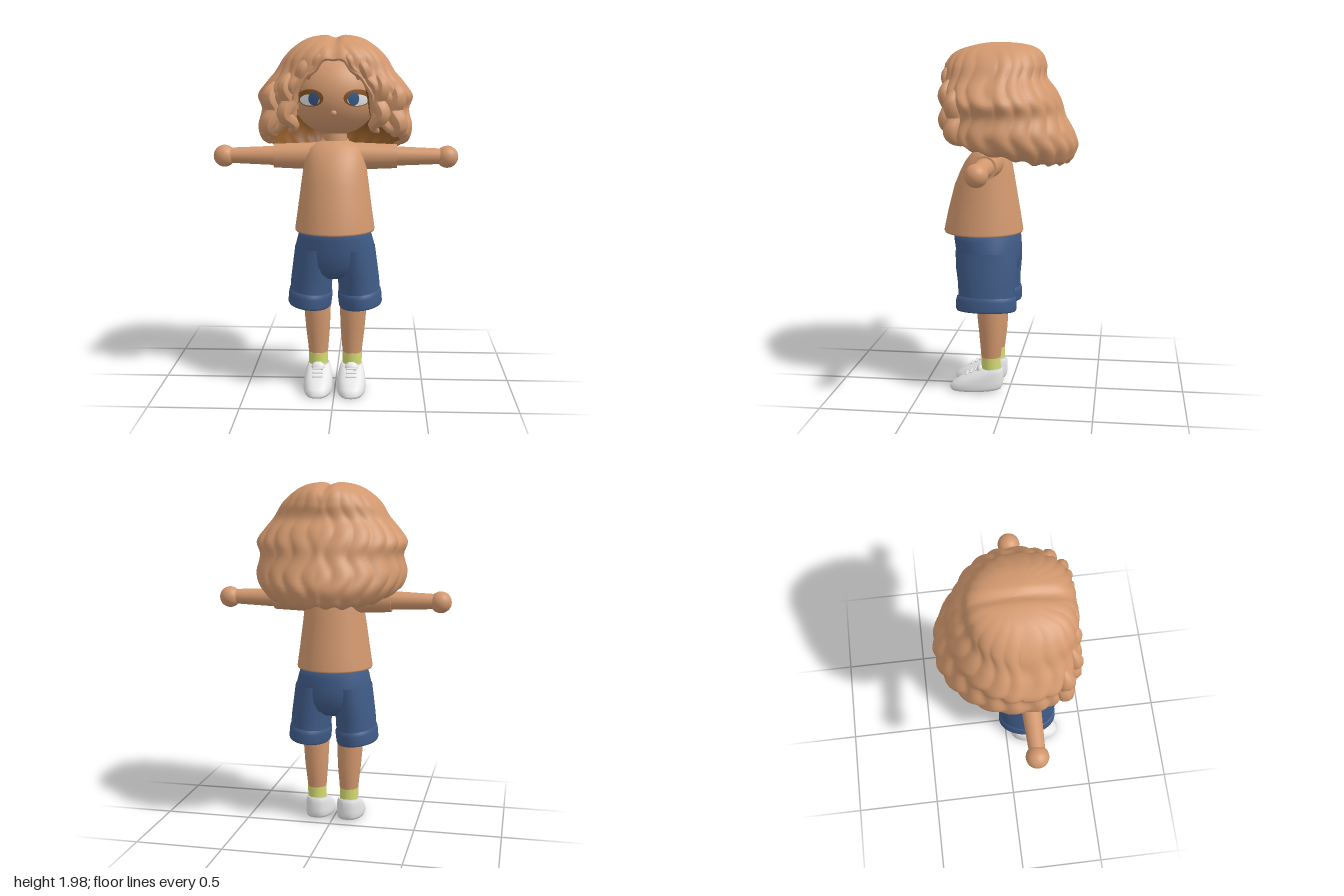
import * as THREE from 'three';

const mat = (name, color, side = THREE.FrontSide) =>
  Object.assign(new THREE.MeshStandardMaterial({ color, side }), { name });

// Closed loft: rows run top to bottom, columns run round from the front
function loft(rows, cols, point) {
  const pos = [], idx = [];
  for (let i = 0; i < rows; i++)
    for (let j = 0; j < cols; j++) pos.push(...point(i, (j / cols) * Math.PI * 2));
  for (let i = 0; i < rows - 1; i++)
    for (let j = 0; j < cols; j++) {
      const a = i * cols + j, b = i * cols + (j + 1) % cols;
      idx.push(a, a + cols, b, b, a + cols, b + cols);
    }
  const g = new THREE.BufferGeometry();
  g.setAttribute('position', new THREE.Float32BufferAttribute(pos, 3));
  g.setIndex(idx);
  g.computeVertexNormals();
  return g;
}

// Loft through elliptical rings [y, centreX, radiusX, centreZ, radiusZ]
const rings = (list, cols = 40) => loft(list.length, cols, (i, a) => {
  const [y, cx, rx, cz, rz] = list[i];
  return [cx + rx * Math.sin(a), y, cz + rz * Math.cos(a)];
});

// Tapering curl along a path
function curl(points, radius) {
  const path = new THREE.CatmullRomCurve3(points.map(p => new THREE.Vector3(...p)));
  const n = 28, m = 10, g = new THREE.TubeGeometry(path, n, radius, m);
  const p = g.attributes.position, v = new THREE.Vector3();
  for (let i = 0; i <= n; i++) {
    const c = path.getPointAt(i / n), s = Math.pow(Math.sin(Math.PI * Math.min(0.999, Math.max(0.001, i / n))), 0.5);
    for (let j = 0; j <= m; j++) {
      const k = i * (m + 1) + j;
      v.fromBufferAttribute(p, k).sub(c).multiplyScalar(s).add(c);
      p.setXYZ(k, v.x, v.y, v.z);
    }
  }
  g.computeVertexNormals();
  return g;
}

// Hair profile against sqrt(2 - y): half width, front z, back z
const profile = [
  [2.0, 0.0, 0.05, 0.05], [1.985, 0.13, 0.18, -0.1], [1.95, 0.2, 0.29, -0.17], [1.88, 0.275, 0.35, -0.2],
  [1.8, 0.325, 0.355, -0.205], [1.74, 0.375, 0.365, -0.25], [1.67, 0.42, 0.36, -0.285],
  [1.6, 0.4, 0.335, -0.305], [1.5, 0.42, 0.345, -0.355], [1.43, 0.4, 0.33, -0.375], [1.34, 0.33, 0.29, -0.34]];
const hairAt = new THREE.CubicInterpolant(
  profile.map(p => Math.sqrt(2 - p[0])), profile.flatMap(p => p.slice(1)), 3, new Float32Array(3));
// Lower edge of the hair by angle from the front
const edge = [[0, 1.87], [0.1, 1.865], [0.2, 1.8], [0.3, 1.76], [0.36, 1.7], [0.42, 1.54], [0.6, 1.5],
  [1, 1.47], [1.57, 1.415], [2.2, 1.355], [2.7, 1.345], [3.15, 1.35]];
function hairEdge(a) {
  const t = Math.min(a, Math.PI * 2 - a);
  const k = edge.findIndex((e, i) => i > 0 && t <= e[0]);
  const [a0, y0] = edge[k - 1], [a1, y1] = edge[k];
  return y0 + (y1 - y0) * (t - a0) / (a1 - a0) + 0.008 * Math.cos(22 * t);
}
function hairPoint(t, a, scale = 1, lift = 0) {
  const u = t * Math.sqrt(2 - hairEdge(a)), y = 2 - u * u;
  const [w, zf, zb] = hairAt.evaluate(u);
  const s = Math.sin(a), c = Math.cos(a), side = Math.min(a, Math.PI * 2 - a);
  const p = c > 0 ? 0.7 : 1;
  const wave = 1 + 0.035 * Math.min(1, u * 2) * (Math.abs(Math.cos(11 * side + 0.7 * Math.sin(y * 26))) - 0.6);
  const x = Math.sign(s) * Math.pow(Math.abs(s), p) * w * wave * scale;
  const z = 0.05 + (c > 0 ? Math.pow(c, p) * (zf - 0.05) : c * (0.05 - zb)) * wave * scale;
  const part = 0.018 * Math.exp(-((x / 0.03) ** 2)) * Math.max(0, Math.min(1, (y - 1.8) / 0.1));
  return [x, y - part + lift, z];
}

// Front surface of the face
const face = { y: 1.68, z: 0.09, rx: 0.24, ry: 0.226, rz: 0.225 };
const faceZ = (x, y) => face.z + face.rz *
  Math.sqrt(Math.max(0, 1 - (x / face.rx) ** 2 - ((y - face.y) / face.ry) ** 2));
function facePatch(cx, cy, rx, ry, offset) {
  const g = new THREE.RingGeometry(0.001, 1, 28, 5), p = g.attributes.position;
  for (let i = 0; i < p.count; i++) {
    const x = cx + p.getX(i) * rx, y = cy + p.getY(i) * ry;
    p.setXYZ(i, x, y, faceZ(x, y) + offset);
  }
  g.computeVertexNormals();
  return g;
}

export function createModel() {
  const model = new THREE.Group();
  const tan = mat('tan', 0xd2986e, THREE.DoubleSide), denim = mat('denim blue', 0x3f5b87, THREE.DoubleSide);
  const white = mat('white', 0xececec), lime = mat('lime', 0xd6dd72);
  const brown = mat('dark brown', 0x855322, THREE.DoubleSide), blue = mat('eye blue', 0x3b5a8a);
  const add = (name, geo, material, x = 0, y = 0, z = 0) => {
    const m = new THREE.Mesh(geo, material);
    m.name = name;
    m.position.set(x, y, z);
    model.add(m);
    return m;
  };

  // Hair shell with a turned-in rim, then its dark lining
  const n = 56;
  add('hair', loft(n + 2, 240, (i, a) => i < n ? hairPoint(i / (n - 1), a)
    : hairPoint(1, a, i === n ? 0.96 : 0.9, i === n ? -0.008 : 0.008)), tan);
  add('hairLining', loft(30, 120, (i, a) => hairPoint(1 - i / 29, a, 0.9, 0.008 - 0.03 * i / 29)), brown);

  // Head, nose and neck
  const head = add('head', new THREE.SphereGeometry(1, 48, 32), tan, 0, face.y, face.z);
  head.scale.set(face.rx, face.ry, face.rz);
  add('nose', new THREE.SphereGeometry(0.016, 16, 12), tan, 0, 1.585, faceZ(0, 1.585) + 0.002);
  add('neck', new THREE.CylinderGeometry(0.06, 0.068, 0.16, 28), tan, 0, 1.45, 0.1);

  // Shirt body and collar
  add('shirt', rings([
    [1.425, 0, 0.068, 0.105, 0.06], [1.41, 0, 0.11, 0.108, 0.08], [1.385, 0, 0.148, 0.115, 0.105],
    [1.34, 0, 0.166, 0.125, 0.13], [1.28, 0, 0.174, 0.135, 0.152], [1.2, 0, 0.185, 0.145, 0.175],
    [1.05, 0, 0.205, 0.152, 0.207], [0.945, 0, 0.22, 0.155, 0.226], [0.935, 0, 0.218, 0.155, 0.223],
    [0.94, 0, 0.208, 0.155, 0.213]], 56), tan);
  const collar = add('collar', new THREE.TorusGeometry(0.068, 0.008, 8, 36), tan, 0, 1.422, 0.105);
  collar.rotation.x = Math.PI / 2 + 0.15;

  // Shorts seat, closed at the crotch
  add('shortsSeat', rings([
    [0.96, 0, 0.001, 0.135, 0.001], [0.96, 0, 0.188, 0.137, 0.186], [0.9, 0, 0.206, 0.132, 0.193],
    [0.82, 0, 0.226, 0.125, 0.188], [0.75, 0, 0.228, 0.123, 0.178], [0.7, 0, 0.19, 0.123, 0.15],
    [0.665, 0, 0.1, 0.123, 0.1], [0.655, 0, 0.001, 0.123, 0.001]], 48), denim);

  for (const s of [1, -1]) {
    // Eyes as thin layers on the face
    add('lash', facePatch(s * 0.125, 1.664, 0.072, 0.046, 0.003), brown);
    add('eyeWhite', facePatch(s * 0.128, 1.653, 0.055, 0.03, 0.006), white);
    add('iris', facePatch(s * 0.106, 1.66, 0.029, 0.034, 0.009), blue);

    // Curls framing the face
    const curls = [
      [0.04, [[0.04, 1.9, 0.31], [0.08, 1.87, 0.33], [0.1, 1.83, 0.325], [0.13, 1.79, 0.33], [0.13, 1.76, 0.32]], 0.028],
      [0, [[0.12, 1.88, 0.3], [0.16, 1.82, 0.33], [0.18, 1.77, 0.315], [0.22, 1.72, 0.33], [0.2, 1.67, 0.31]], 0.035],
      [0, [[0.22, 1.8, 0.3], [0.26, 1.72, 0.325], [0.23, 1.65, 0.3], [0.26, 1.58, 0.32], [0.21, 1.52, 0.29], [0.24, 1.48, 0.27]], 0.045],
      [0, [[0.3, 1.75, 0.25], [0.34, 1.67, 0.27], [0.31, 1.6, 0.25], [0.35, 1.52, 0.27], [0.31, 1.46, 0.22]], 0.055]];
    for (const [, pts, r] of curls) add('curl', curl(pts.map(([x, y, z]) => [s * x, y, z]), r), tan);

    // Sleeve, arm and hand
    const along = (r0, r1, len) => new THREE.CylinderGeometry(r1, r0, len, 28).rotateZ(-s * Math.PI / 2);
    add('sleeve', along(0.076, 0.066, 0.24), tan, s * 0.22, 1.337, 0.1);
    add('arm', along(0.055, 0.042, 0.3), tan, s * 0.45, 1.338, 0.1);
    add('hand', new THREE.SphereGeometry(0.061, 28, 20), tan, s * 0.617, 1.335, 0.098);

    // Shorts leg and rolled cuff, hanging lower on the inside
    add('shortsLeg', rings([
      [0.84, s * 0.11, 0.113, 0.125, 0.175], [0.75, s * 0.121, 0.114, 0.123, 0.174],
      [0.66, s * 0.131, 0.116, 0.121, 0.163], [0.56, s * 0.138, 0.117, 0.12, 0.16]]), denim);
    const cuff = add('shortsCuff', rings([
      [0.045, 0, 0.115, 0, 0.158], [0.04, 0, 0.121, 0, 0.168], [0.02, 0, 0.123, 0, 0.172], [-0.03, 0, 0.122, 0, 0.172],
      [-0.04, 0, 0.117, 0, 0.166], [-0.035, 0, 0.108, 0, 0.155], [0.05, 0, 0.104, 0, 0.15]]), denim, s * 0.14, 0.542, 0.122);
    cuff.rotation.z = s * 0.1;

    // Leg and sock
    add('leg', rings([
      [0.72, s * 0.115, 0.08, 0.11, 0.082], [0.5, s * 0.102, 0.077, 0.106, 0.077], [0.35, s * 0.099, 0.068, 0.1, 0.069],
      [0.25, s * 0.097, 0.058, 0.102, 0.059], [0.15, s * 0.097, 0.05, 0.104, 0.05]], 28), tan);
    add('sock', new THREE.CylinderGeometry(0.056, 0.053, 0.12, 28), lime, s * 0.097, 0.155, 0.103);

    // Shoe: [y, heel z, toe z, half width], heel slightly raised
    const shoe = [[0.11, 0.06, 0.14, 0.035], [0.138, 0.045, 0.15, 0.054], [0.132, 0.037, 0.168, 0.062], [0.11, 0.033, 0.215, 0.07],
      [0.085, 0.032, 0.275, 0.077], [0.055, 0.032, 0.325, 0.081], [0.028, 0.034, 0.345, 0.083],
      [0.012, 0.045, 0.337, 0.078], [0.01, 0.18, 0.19, 0.001]];
    add('shoe', loft(shoe.length, 36, (i, a) => {
      const [y, z0, z1, w] = shoe[i], c = Math.cos(a), z = (z0 + z1) / 2 + c * (z1 - z0) / 2;
      const sn = Math.sin(a);
      return [s * 0.094 + Math.sign(sn) * Math.pow(Math.abs(sn), 0.8) * w, y + 0.05 * (0.345 - z), z];
    }), white);
    const tongue = add('shoeTongue', new THREE.SphereGeometry(1, 20, 14), white, s * 0.095, 0.138, 0.165);
    tongue.scale.set(0.038, 0.03, 0.022);
    tongue.rotation.x = -0.5;
    // Laces
    for (let k = 0; k < 3; k++)
      add('lace', new THREE.CapsuleGeometry(0.006, 0.05, 4, 8).rotateZ(Math.PI / 2), white,
        s * 0.095, 0.135 - k * 0.014, 0.192 + k * 0.026);
  }
  return model;
}
